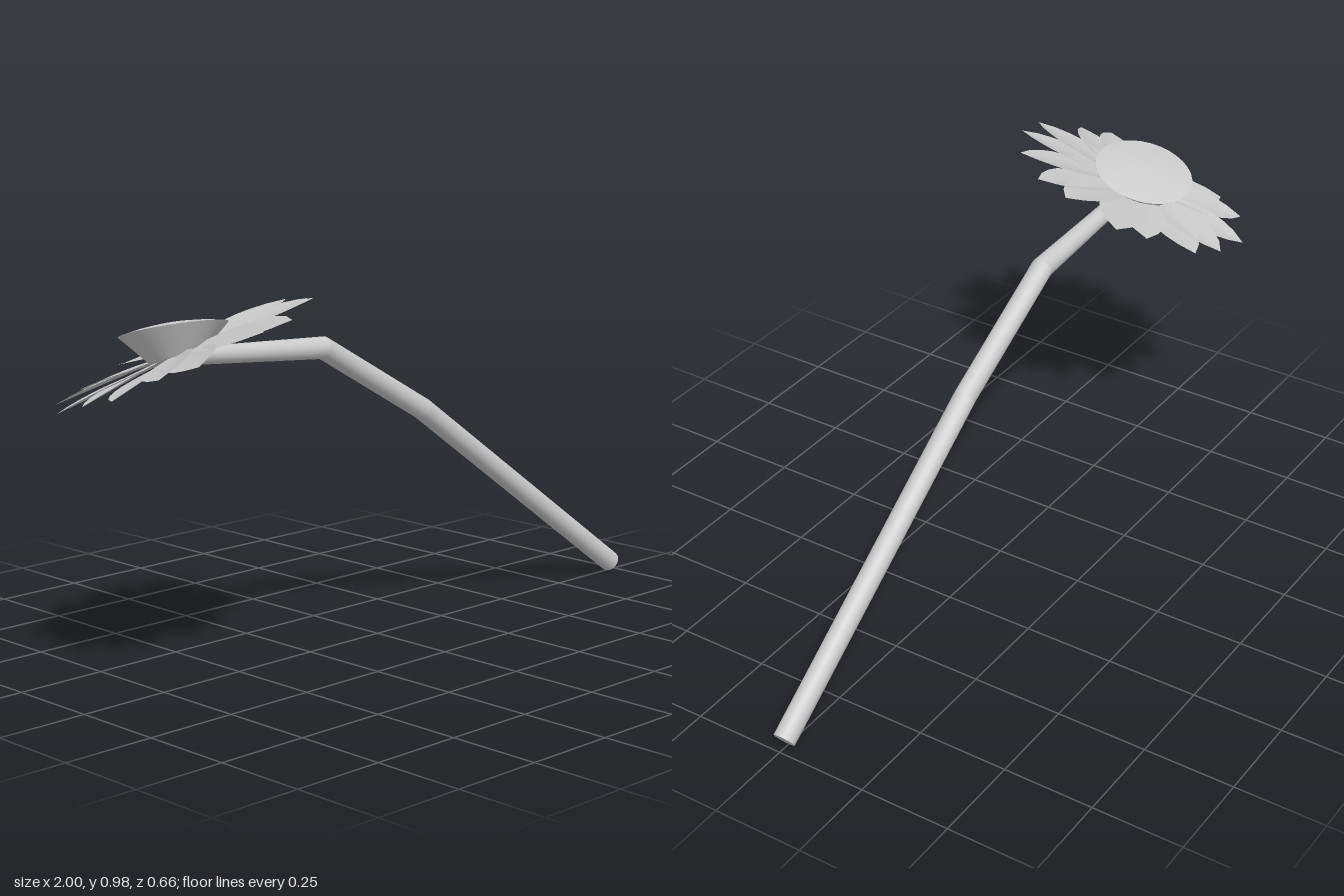
import * as THREE from 'three';
import { mergeGeometries } from 'three/addons/utils/BufferGeometryUtils.js';

const V = (x, y, z) => new THREE.Vector3(x, y, z);
const material = new THREE.MeshStandardMaterial({ color: 0xcccccc });
const petalMaterial = new THREE.MeshStandardMaterial({ color: 0xcccccc, side: THREE.DoubleSide });

// Circle of points around centre c, counter-clockwise about normal n
function ring(c, n, r, sides) {
  const u = V(0, 0, 1).cross(n).normalize();
  const v = n.clone().normalize().cross(u);
  return Array.from({ length: sides }, (_, i) => {
    const a = (i / sides) * Math.PI * 2;
    return c.clone().addScaledVector(u, r * Math.cos(a)).addScaledVector(v, r * Math.sin(a));
  });
}

function build(points, index) {
  const g = new THREE.BufferGeometry().setFromPoints(points);
  g.setIndex(index);
  g.computeVertexNormals();
  return g;
}

// Skin through successive rings, smooth around and along
function loft(rings) {
  const n = rings[0].length, index = [];
  for (let k = 0; k < rings.length - 1; k++) {
    for (let i = 0; i < n; i++) {
      const a = k * n + i, b = k * n + ((i + 1) % n);
      index.push(a, b, b + n, a, b + n, a + n);
    }
  }
  return build(rings.flat(), index);
}

// Fan from a ring to an apex
function cap(points, apex, flip = false) {
  const n = points.length, index = [];
  for (let i = 0; i < n; i++) {
    const j = (i + 1) % n;
    index.push(flip ? j : i, flip ? i : j, n);
  }
  return build([...points, apex], index);
}

function createStem() {
  const path = [V(0.98, 0.025, 0), V(0.17, 0.595, 0), V(-0.2, 0.803, 0), V(-0.665, 0.834, 0)];
  const radii = [0.03, 0.03, 0.03, 0.022];
  const rings = path.map((p, i) => {
    const n = V(0, 0, 0);
    if (i > 0) n.add(p.clone().sub(path[i - 1]).normalize());
    if (i < path.length - 1) n.add(path[i + 1].clone().sub(p).normalize());
    return ring(p, n, radii[i], 16);
  });
  // Separate segments keep the bends crisp
  const parts = [cap(rings[0], path[0], true), cap(rings[3], path[3])];
  for (let i = 0; i < 3; i++) parts.push(loft([rings[i], rings[i + 1]]));
  return new THREE.Mesh(mergeGeometries(parts), material);
}

// Thin pointed leaf shape lying along +x, with a shallow central groove
function petalGeometry() {
  const halfWidths = [0.02, 0.035, 0.05, 0.062, 0.068, 0.066, 0.055, 0.035, 0];
  const g = new THREE.PlaneGeometry(1, 1, 4, halfWidths.length - 1);
  const p = g.attributes.position;
  for (let i = 0; i < p.count; i++) {
    const row = Math.floor(i / 5), t = row / (halfWidths.length - 1);
    const s = p.getX(i) * 2, w = halfWidths[row];
    p.setXYZ(i, 0.04 + 0.305 * t, 0.12 * w * Math.abs(s) - 0.004 * t, s * w);
  }
  g.computeVertexNormals();
  return g;
}

function createPetals() {
  const petals = new THREE.Group();
  const angles = [106, 78, 62, 36, 22, -5, -23, -45, -77, -94, -124, -140, -162, -178, 155, 134];
  const geometry = petalGeometry();
  angles.forEach((angle, i) => {
    const petal = new THREE.Mesh(geometry, petalMaterial);
    petal.name = 'petal';
    petal.rotation.set(0.09, THREE.MathUtils.degToRad(angle), 0, 'YXZ');
    petal.position.y = i % 2 ? 0.004 : -0.004;
    petals.add(petal);
  });
  petals.position.set(-0.67, 0.845, 0);
  petals.quaternion.setFromUnitVectors(V(0, 1, 0), V(-0.29, 1, -0.3).normalize());
  return petals;
}

// Flared cup through the petals, closed by a low dome
function createSeedHead() {
  const sides = 32;
  const lowN = V(-0.29, 1, -0.3).normalize(), topN = V(0.05, 1, -0.28).normalize();
  const lowC = V(-0.655, 0.835, -0.02), topC = V(-0.667, 0.897, -0.038);
  const low = ring(lowC, lowN, 0.078, sides), rim = ring(topC, topN, 0.137, sides);
  const domeRings = [0, 0.3, 0.6, 0.85].map((t) =>
    ring(topC.clone().addScaledVector(topN, 0.016 * (1 - (1 - t) ** 2)), topN, 0.137 * (1 - t), sides));
  const apex = topC.clone().addScaledVector(topN, 0.016);
  const parts = [cap(low, lowC, true), loft([low, rim]), loft(domeRings), cap(domeRings[3], apex)];
  return new THREE.Mesh(mergeGeometries(parts), material);
}

export function createModel() {
  const model = new THREE.Group();
  model.name = 'flower';
  const parts = { stem: createStem(), petals: createPetals(), seedHead: createSeedHead() };
  for (const [name, part] of Object.entries(parts)) {
    part.name = name;
    model.add(part);
  }
  return model;
}
